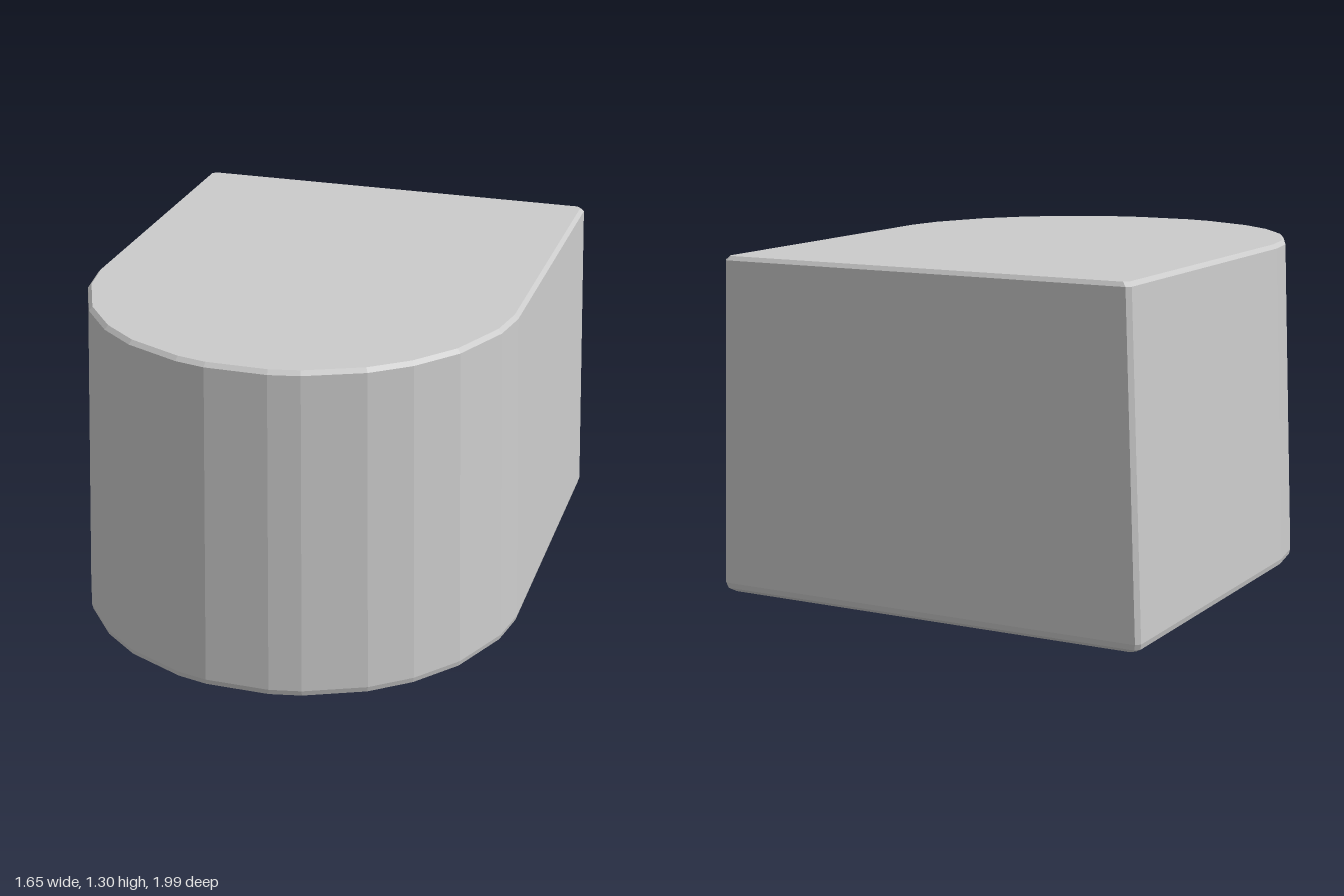
import * as THREE from 'three';
import { ConvexGeometry } from 'three/addons/geometries/ConvexGeometry.js';

// Facet corners of the rounded front, in degrees from the side
const ARC = [4, 15, 32, 46, 58, 74, 82];
const ARC_CENTRE_Z = 0.175;

// D-shaped outline: square back with small corner bevels, round front
function outline(y, halfWidth, backZ, bevel = 0.015) {
  const points = [];
  for (const side of [-1, 1]) {
    points.push(new THREE.Vector3(side * (halfWidth - bevel), y, backZ));
    points.push(new THREE.Vector3(side * halfWidth, y, backZ + bevel));
    for (const degrees of ARC) {
      const a = THREE.MathUtils.degToRad(degrees);
      points.push(new THREE.Vector3(
        side * halfWidth * Math.cos(a), y, ARC_CENTRE_Z + halfWidth * Math.sin(a)));
    }
  }
  return points;
}

export function createModel() {
  const group = new THREE.Group();
  group.name = 'model';

  const points = [
    ...outline(1.305, 0.77, -0.99),  // top face
    ...outline(1.29, 0.783, -1),     // top bevel
    ...outline(0.13, 0.825, -1),     // widest line
    ...outline(0.11, 0.82, -0.995),  // lower bevel
    ...outline(0.097, 0.797, -0.98), // lower rim
  ];

  // Shallow keel the underside slopes down to
  for (const x of [-0.52, 0.52]) {
    for (const z of [-0.58, -0.64]) points.push(new THREE.Vector3(x, 0, z));
  }

  const body = new THREE.Mesh(
    new ConvexGeometry(points),
    new THREE.MeshStandardMaterial({ color: 0xcccccc, flatShading: true }));
  body.name = 'taperedBody';
  group.add(body);
  return group;
}
